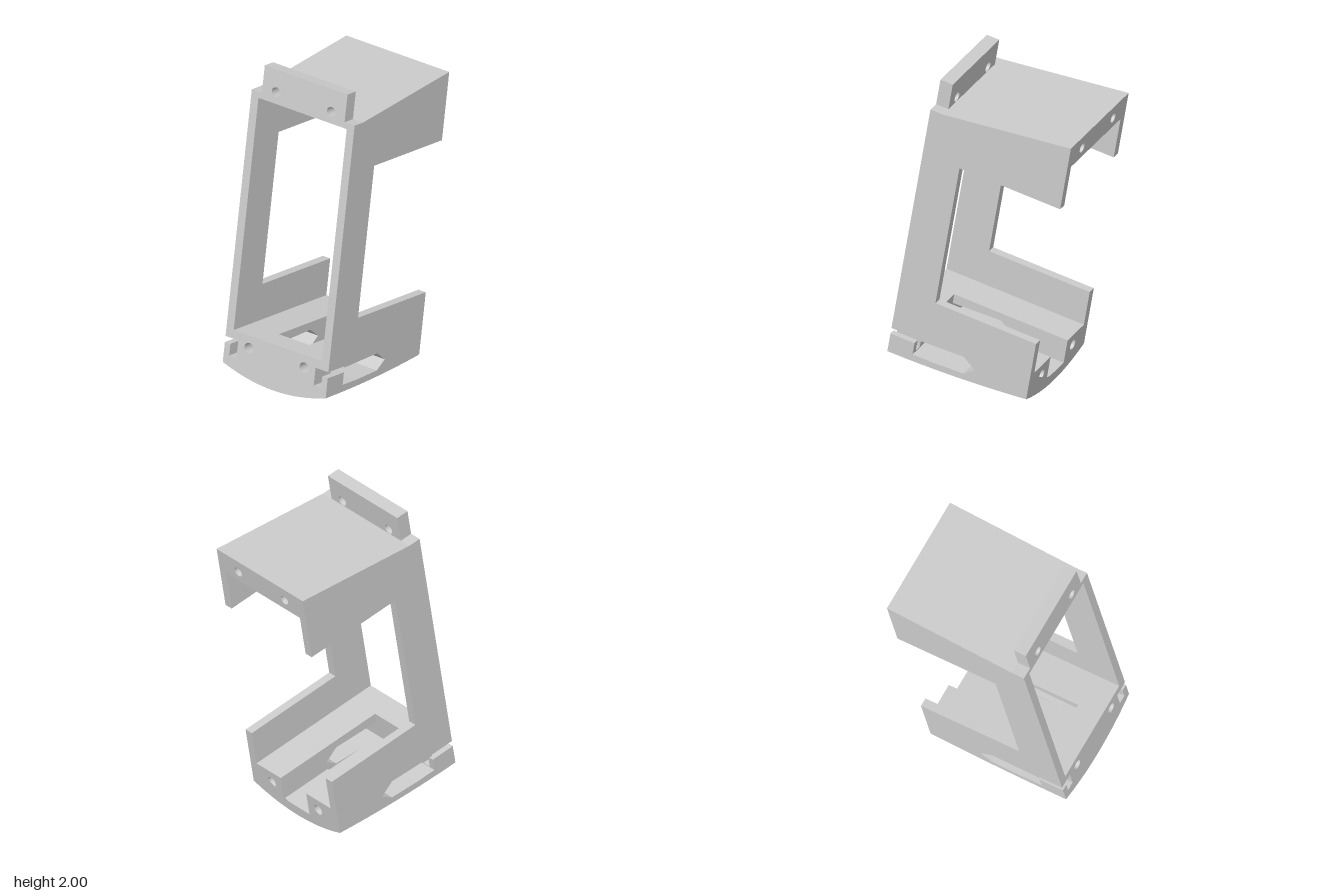
import * as THREE from 'three';

const TILT = THREE.MathUtils.degToRad(9.5);
const W = 0.373, INNER = 0.32, CHANNEL = 0.11; // half widths
const BACK = -0.295, FRONT = 0.608, FLOOR = 0.278;
const material = new THREE.MeshStandardMaterial({ color: 0xcccccc });

// Curved underside: bowed across x and rising toward the back
const underside = (x, z) =>
  0.064 * (x / W) ** 2 + 0.055 * ((FRONT - z) / (FRONT - BACK)) ** 2;

// Roof slope behind the flat shoulder
const roofTop = (z) => 1.757 + 0.117 * Math.max(0, (0.527 - z) / (0.527 - BACK));

function makeShape(points, holes = []) {
  const shape = new THREE.Shape(points.map(([x, y]) => new THREE.Vector2(x, y)));
  for (const [x, y, r] of holes) {
    shape.holes.push(new THREE.Path().absarc(x, y, r, 0, Math.PI * 2, true));
  }
  return shape;
}

function addMesh(group, name, geometry) {
  const mesh = new THREE.Mesh(geometry, material);
  mesh.name = name;
  group.add(mesh);
}

// Extrude an (x, y) outline from z0 to z1; an optional rule moves its heights
function alongZ(points, z0, z1, holes, rule, steps = 1) {
  const g = new THREE.ExtrudeGeometry(makeShape(points, holes),
    { depth: z1 - z0, steps, bevelEnabled: false, curveSegments: 24 });
  g.translate(0, 0, z0);
  if (rule) {
    const p = g.attributes.position;
    for (let i = 0; i < p.count; i++) p.setY(i, rule(p.getX(i), p.getY(i), p.getZ(i)));
    g.computeVertexNormals();
  }
  return g;
}

// Extrude a (z, y) side profile from x0 to x1
function alongX(points, x0, x1) {
  const g = new THREE.ExtrudeGeometry(makeShape(points), { depth: x1 - x0, bevelEnabled: false });
  return g.rotateY(-Math.PI / 2).translate(x1, 0, 0);
}

// Outline symmetric in x: curved bottom plus a right-hand edge read upward
function baseOutline(rightEdge) {
  const pts = [];
  for (let i = 0; i <= 20; i++) pts.push([-W + (2 * W * i) / 20, 0]);
  const left = rightEdge.map(([x, y]) => [-x, y]).reverse();
  return [...pts, ...rightEdge, ...left];
}

const bend = (x, y, z) => (y < 1e-6 ? underside(x, z) : y);
const pair = (y, r) => [[-0.2, y, r], [0.2, y, r]];

export function createModel() {
  const model = new THREE.Group();
  model.name = 'bracket';
  const body = new THREE.Group();
  body.name = 'tiltedBody';
  body.rotation.x = -TILT;
  body.position.y = -0.005;
  model.add(body);

  // Front of the base with hooked side notches and screw holes
  addMesh(body, 'baseFront', alongZ(baseOutline([
    [W, 0.188], [0.333, 0.188], [0.333, 0.116], [0.28, 0.116],
    [0.28, 0.226], [W, 0.226], [W, FLOOR],
  ]), 0.45, FRONT, pair(0.201, 0.033), bend, 3));

  // Thin bed below the cross slot
  addMesh(body, 'baseBed', alongZ(baseOutline([[W, 0.11]]), 0.05, 0.45, [], bend, 6));

  // Back of the base: two rails with screw holes and a central channel
  addMesh(body, 'baseBack', alongZ(baseOutline([
    [W, FLOOR], [CHANNEL, FLOOR], [CHANNEL, 0.122],
  ]), BACK, 0.05, pair(0.201, 0.033), bend, 6));

  // Side frame: upright with an upper and a lower arm
  const frame = [
    [FRONT, FLOOR], [FRONT, 1.757], [0.527, 1.757], [BACK, 1.874], [BACK, 1.45],
    [0.366, 1.45], [0.366, 0.506], [BACK, 0.506], [BACK, FLOOR],
  ];
  // Rail above the slot, and the wedges that point the slot's rear end
  const rail = [[0.05, 0.173], [0.135, 0.23], [0.45, 0.217], [0.45, FLOOR], [0.05, FLOOR]];
  const wedge = [[0.05, 0.173], [0.05, 0.108], [0.45, 0.103], [0.117, 0.12]];
  for (const side of [-1, 1]) {
    const name = side > 0 ? 'left' : 'right';
    const span = (a, b) => (side > 0 ? [a, b] : [-b, -a]);
    addMesh(body, name + 'Frame', alongX(frame, ...span(INNER, W)));
    addMesh(body, name + 'Rail', alongX(rail, ...span(CHANNEL, W)));
    addMesh(body, name + 'SlotEnd', alongX(wedge, ...span(CHANNEL, W)));
  }

  // Wedge-shaped roof and its drilled rear end
  const split = -0.18;
  addMesh(body, 'roof', alongX([
    [FRONT, 1.72], [FRONT, 1.757], [0.527, 1.757], [split, roofTop(split)], [split, 1.72],
  ], -INNER, INNER));
  addMesh(body, 'roofBack', alongZ([
    [-INNER, 1.72], [INNER, 1.72], [INNER, 2], [-INNER, 2],
  ], BACK, split, pair(1.79, 0.03), (x, y, z) => (y > 1.99 ? roofTop(z) : y)));

  // Upright mounting tab with two through holes
  addMesh(body, 'mountingTab', alongZ([
    [-0.3, 1.757], [0.3, 1.757], [0.3, 1.928], [-0.3, 1.928],
  ], 0.527, FRONT, pair(1.79, 0.031)));

  return model;
}
